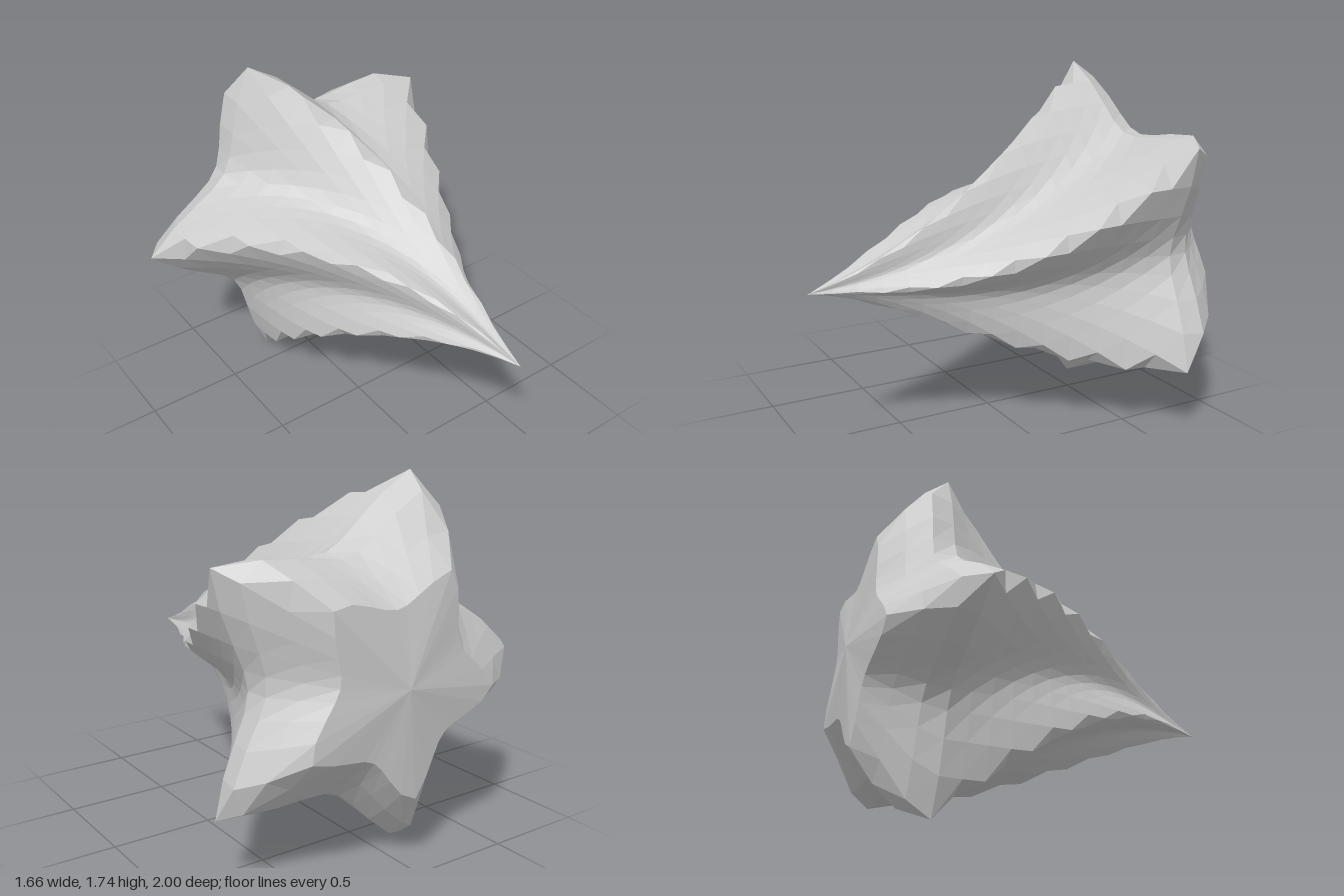
import * as THREE from 'three';

const RINGS = 18;   // steps from the back rim to the point
const SIDES = 40;   // columns around the star
const WIDEST = 3;   // ring with the largest radius
const BACK_RADII = [0.55, 0.72, 0.88];

// Tip radius of the star at a ring
function tipRadius(i) {
  if (i < WIDEST) return BACK_RADII[i];
  return 0.915 * Math.pow((RINGS - i) / (RINGS - WIDEST), 1.2);
}

// Turn of the star at a ring, in degrees
function twist(i) {
  return (WIDEST - i) * (i < WIDEST ? 3.6 : 4.45);
}

// Five sharp tips with rounded valleys; the axis bends towards the point
function surfacePoint(i, j) {
  const z = -0.96 + (1.96 * i) / RINGS;
  const bend = Math.pow(Math.max(0, (i - WIDEST) / (RINGS - WIDEST)), 1.8);
  const angle = (j / SIDES) * Math.PI * 2;
  const local = angle - THREE.MathUtils.degToRad(36 + twist(i));
  const r = tipRadius(i) * (1 - 0.375 * Math.abs(Math.sin(2.5 * local)));
  return [
    0.08 + 0.09 * bend + r * Math.cos(angle),
    0.87 - 0.08 * bend + r * Math.sin(angle),
    z,
  ];
}

function starGeometry() {
  const positions = [];
  const index = [];
  const at = (i, j) => i * SIDES + (j % SIDES);

  for (let i = 0; i < RINGS; i++) {
    for (let j = 0; j < SIDES; j++) positions.push(...surfacePoint(i, j));
  }
  const point = RINGS * SIDES;
  const back = point + 1;
  positions.push(0.17, 0.79, 1, 0.08, 0.87, -1);

  for (let j = 0; j < SIDES; j++) {
    // shallow back cap
    index.push(back, at(0, j + 1), at(0, j));
    // twisted sides, with diagonals following the ridges
    for (let i = 0; i < RINGS - 1; i++) {
      const a = at(i, j), b = at(i, j + 1), c = at(i + 1, j + 1), d = at(i + 1, j);
      index.push(a, b, d, b, c, d);
    }
    // front point
    index.push(at(RINGS - 1, j), at(RINGS - 1, j + 1), point);
  }

  const geometry = new THREE.BufferGeometry();
  geometry.setAttribute('position', new THREE.Float32BufferAttribute(positions, 3));
  geometry.setIndex(index);
  const flat = geometry.toNonIndexed();
  flat.computeVertexNormals();
  return flat;
}

export function createModel() {
  const group = new THREE.Group();
  group.name = 'twistedStarShell';

  const grey = new THREE.MeshStandardMaterial({ color: 0xcccccc, flatShading: true });
  grey.name = 'light grey';

  const shell = new THREE.Mesh(starGeometry(), grey);
  shell.name = 'spiralStarCone';
  group.add(shell);
  return group;
}
